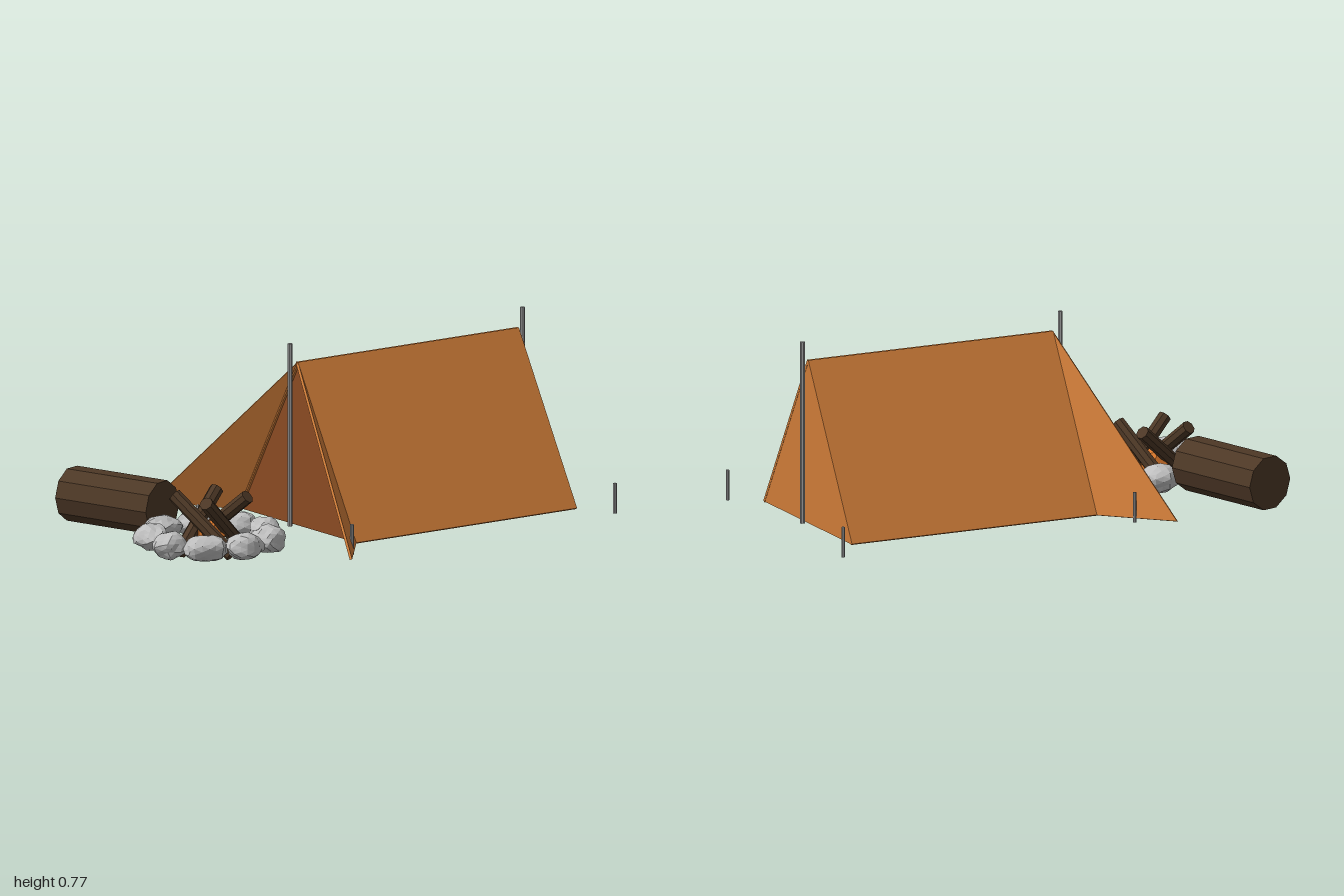
import * as THREE from 'three';

const mat = (name, color) => Object.assign(new THREE.MeshStandardMaterial({ color, flatShading: true }), { name });

// Thin prism from a planar polygon, centred on its plane
function slab(points, t) {
  const p = points.map((a) => new THREE.Vector3(...a));
  const n = new THREE.Vector3().crossVectors(p[1].clone().sub(p[0]), p[2].clone().sub(p[0])).normalize();
  const top = p.map((v) => v.clone().addScaledVector(n, t / 2));
  const low = p.map((v) => v.clone().addScaledVector(n, -t / 2));
  const tri = [];
  for (let i = 1; i < p.length - 1; i++) tri.push(top[0], top[i], top[i + 1], low[0], low[i + 1], low[i]);
  for (let i = 0; i < p.length; i++) {
    const j = (i + 1) % p.length;
    tri.push(low[i], low[j], top[j], low[i], top[j], top[i]);
  }
  const g = new THREE.BufferGeometry().setFromPoints(tri);
  g.computeVertexNormals();
  return g;
}

// Cylinder between two points
function rod(a, b, r, sides) {
  const A = new THREE.Vector3(...a), B = new THREE.Vector3(...b);
  const d = B.clone().sub(A);
  const g = new THREE.CylinderGeometry(r, r, d.length(), sides);
  g.applyQuaternion(new THREE.Quaternion().setFromUnitVectors(new THREE.Vector3(0, 1, 0), d.normalize()));
  const m = A.add(B).multiplyScalar(0.5);
  return g.translate(m.x, m.y, m.z);
}

// Lumpy stone: a sphere displaced by a few waves that vary with the seed
function stone(seed) {
  const g = new THREE.IcosahedronGeometry(1, 2);
  const pos = g.attributes.position, v = new THREE.Vector3();
  for (let i = 0; i < pos.count; i++) {
    v.fromBufferAttribute(pos, i);
    const k = 1 + 0.07 * Math.sin(4 * v.x + seed * 2.3) + 0.06 * Math.sin(5 * v.y + seed * 1.7 + 3 * v.z)
      + 0.05 * Math.sin(7 * v.z + seed * 3.1 - 4 * v.x);
    pos.setXYZ(i, v.x * k, v.y * k, v.z * k);
  }
  g.scale(0.083, 0.053, 0.066);
  g.computeVertexNormals();
  return g;
}

export function createModel() {
  const canvas = mat('tent canvas', 0xcd7b38);
  const door = mat('dark door canvas', 0x8a4a22);
  const metal = mat('pole metal', 0xa6a6a6);
  const bark = mat('dark bark', 0x4d3826);
  const rock = mat('pale stone', 0xbebebe);
  const ember = mat('ember orange', 0xd9772b);

  const model = new THREE.Group();
  const add = (parent, name, geometry, material) => {
    const m = new THREE.Mesh(geometry, material);
    m.name = name;
    parent.add(m);
    return m;
  };
  const group = (name) => {
    const g = new THREE.Group();
    g.name = name;
    model.add(g);
    return g;
  };

  // Tent: two roof panels, two open door flaps, end walls
  const tent = group('tent');
  const front = 0.185, back = -0.89, ridge = 0.69, foot = 0.032, half = 0.39;
  for (const s of [1, -1]) {
    const side = s > 0 ? 'left' : 'right';
    add(tent, side + 'RoofPanel', slab([[0, ridge, front], [s * half, foot, front],
      [s * half, foot, back], [0, ridge, back]], 0.012), canvas);
    add(tent, side + 'DoorFlap', slab([[0, ridge, front], [s * half, foot, front],
      [s * 0.664, 0.044, 0.405]], 0.01), canvas);
  }
  const wall = (z) => slab([[-half, foot, z], [half, foot, z], [0, ridge, z]], 0.01);
  add(tent, 'frontWall', wall(front - 0.015), door);
  add(tent, 'backWall', wall(back + 0.006), canvas);

  // Poles and ground pegs
  const poles = group('polesAndPegs');
  for (const z of [0.215, -0.915]) add(poles, 'pole', rod([-0.005, 0.035, z], [-0.005, 0.77, z], 0.01, 8), metal);
  for (const x of [-0.52, 0.51]) {
    for (const z of [0.288, -0.99]) add(poles, 'peg', rod([x, 0.022, z], [x, 0.143, z], 0.008, 8), metal);
  }

  // Seat log lying beside the fire
  const log = add(model, 'seatLog', new THREE.CylinderGeometry(0.11, 0.11, 0.445, 10).rotateZ(Math.PI / 2), bark);
  log.position.set(-0.397, 0.14, 0.771);
  log.rotation.y = 0.3;

  // Campfire: ring of stones, leaning sticks, ember
  const fire = group('campfire');
  for (let i = 0; i < 9; i++) {
    const a = (i * 40 + 1) * Math.PI / 180;
    const m = add(fire, 'ringStone', stone(i + 1), rock);
    m.position.set(0.103 + 0.233 * Math.cos(a), 0.075, 0.678 + 0.233 * Math.sin(a));
    m.rotation.y = -a + Math.PI / 2 + 0.5 * Math.sin(i * 2.4);
  }
  const sticks = [ // low end x, z, high end x, z
    [-0.045, 0.662, 0.195, 0.567],
    [0.243, 0.678, 0.002, 0.782],
    [0.09, 0.82, 0.006, 0.58],
    [0.108, 0.537, 0.203, 0.775],
  ];
  for (const [x0, z0, x1, z1] of sticks) add(fire, 'stick', rod([x0, 0.022, z0], [x1, 0.235, z1], 0.028, 8), bark);
  add(fire, 'ember', new THREE.IcosahedronGeometry(0.065, 0), ember).position.set(0.098, 0.08, 0.678);

  return model;
}
